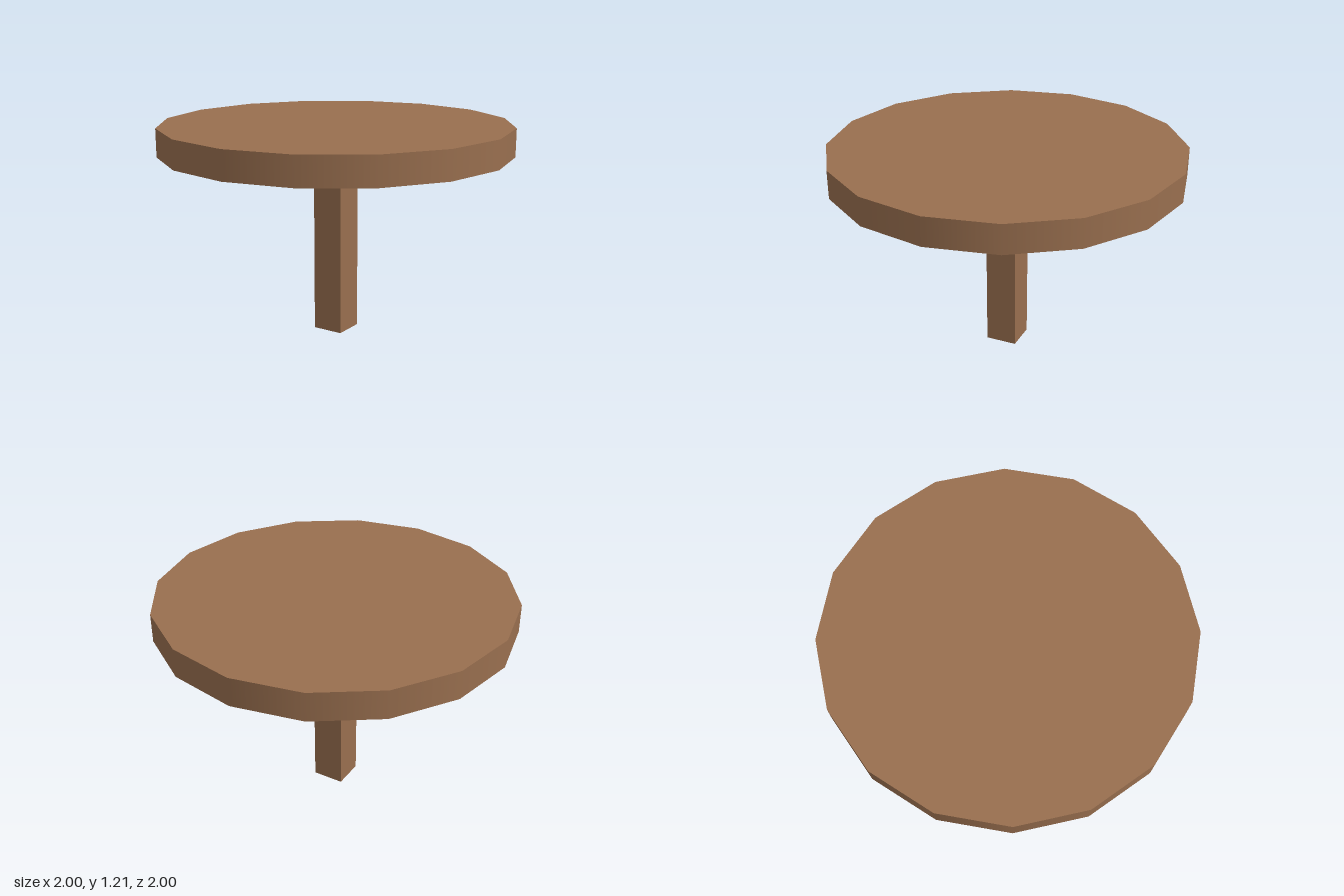
import * as THREE from 'three';

export function createModel() {
  const group = new THREE.Group();
  group.name = 'roundTable';
  const wood = new THREE.MeshStandardMaterial({ color: 0x996f4f });
  wood.name = 'brown wood';

  const legHeight = 1.05;
  const topThickness = 0.16;

  // Sixteen-sided table top with a smoothly shaded rim
  const top = new THREE.Mesh(new THREE.CylinderGeometry(1, 1, topThickness, 16), wood);
  top.name = 'tableTop';
  top.position.y = legHeight + topThickness / 2;

  // Square central leg
  const leg = new THREE.Mesh(new THREE.BoxGeometry(0.18, legHeight, 0.18), wood);
  leg.name = 'leg';
  leg.position.y = legHeight / 2;

  group.add(top, leg);
  return group;
}
